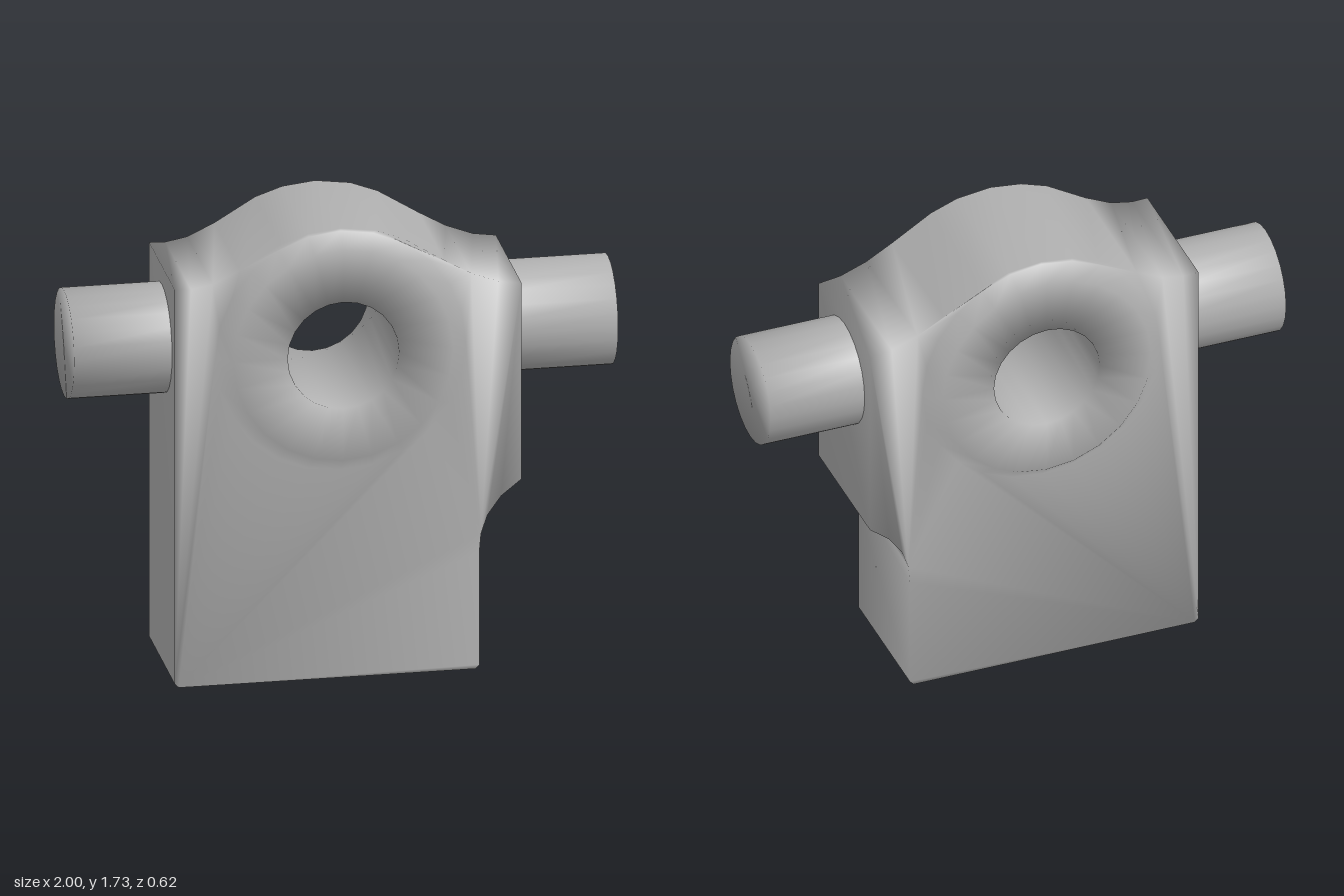
import * as THREE from 'three';
import { mergeVertices } from 'three/addons/utils/BufferGeometryUtils.js';

const HALF = 0.255, BOSS = 0.31; // half depth of the plate and of the boss
const CX = -0.03, CY = 1.26;     // centre of the hole

const steel = new THREE.MeshStandardMaterial({ color: 0xb0b0b0 });
steel.name = 'steel grey';

// Plate silhouette, counter-clockwise from the bottom left
const outline = [
  [-0.64, 0.015], [-0.625, 0], [0.465, 0], [0.48, 0.015],
  // concave step on the side
  [0.48, 0.45], [0.486, 0.52], [0.51, 0.59], [0.56, 0.66], [0.635, 0.72],
  // humped top
  [0.635, 1.475], [0.55, 1.487], [0.45, 1.525], [0.35, 1.582], [0.2, 1.675],
  [0.1, 1.713], [-0.03, 1.73], [-0.15, 1.716], [-0.25, 1.682], [-0.4, 1.592],
  [-0.5, 1.545], [-0.58, 1.53], [-0.64, 1.532],
].map(([x, y]) => new THREE.Vector2(x, y));

function circle(radius, sides = 24) {
  return Array.from({ length: sides }, (_, i) => {
    const a = (i / sides) * Math.PI * 2;
    return new THREE.Vector2(CX + radius * Math.cos(a), CY + radius * Math.sin(a));
  });
}

const at = (loop, z) => loop.map((p) => [p.x, p.y, z]);

function bodyGeometry() {
  const pos = [];
  const tri = (a, b, c) => pos.push(...a, ...b, ...c);
  const band = (a, b) => a.forEach((p, i) => {
    const j = (i + 1) % a.length;
    tri(p, b[i], a[j]);
    tri(b[i], b[j], a[j]);
  });

  // Flat faces around the boss, front and back
  const rim = circle(0.46).reverse();
  const flat = [...outline, ...rim];
  for (const [a, b, c] of THREE.ShapeUtils.triangulateShape(outline, [rim])) {
    const f = at(flat, HALF), r = at(flat, -HALF);
    tri(f[a], f[b], f[c]);
    tri(r[a], r[c], r[b]);
  }

  // Edge of the plate
  band(at(outline, HALF), at(outline, -HALF));

  // Chamfered boss on both faces, joined by the bore
  const rings = [
    [0.46, -HALF], [0.405, -BOSS], [0.205, -BOSS],
    [0.205, BOSS], [0.405, BOSS], [0.46, HALF],
  ].map(([r, z]) => at(circle(r), z));
  for (let i = 0; i < rings.length - 1; i++) band(rings[i], rings[i + 1]);

  // Shared corners give softly rolled shading
  const g = new THREE.BufferGeometry();
  g.setAttribute('position', new THREE.Float32BufferAttribute(pos, 3));
  const merged = mergeVertices(g);
  merged.computeVertexNormals();
  return merged;
}

export function createModel() {
  const group = new THREE.Group();

  const body = new THREE.Mesh(bodyGeometry(), steel);
  body.name = 'boredBody';
  group.add(body);

  // Side pins, closed at the outer end
  const profile = [[0.203, 0], [0.203, 0.38], [0, 0.38]].map(([x, y]) => new THREE.Vector2(x, y));
  const pinGeometry = new THREE.LatheGeometry(profile, 24);
  for (const side of [1, -1]) {
    const pin = new THREE.Mesh(pinGeometry, steel);
    pin.name = side > 0 ? 'leftPin' : 'rightPin';
    pin.rotation.z = -side * Math.PI / 2;
    pin.position.set(side * 0.62, CY, 0);
    group.add(pin);
  }
  return group;
}
